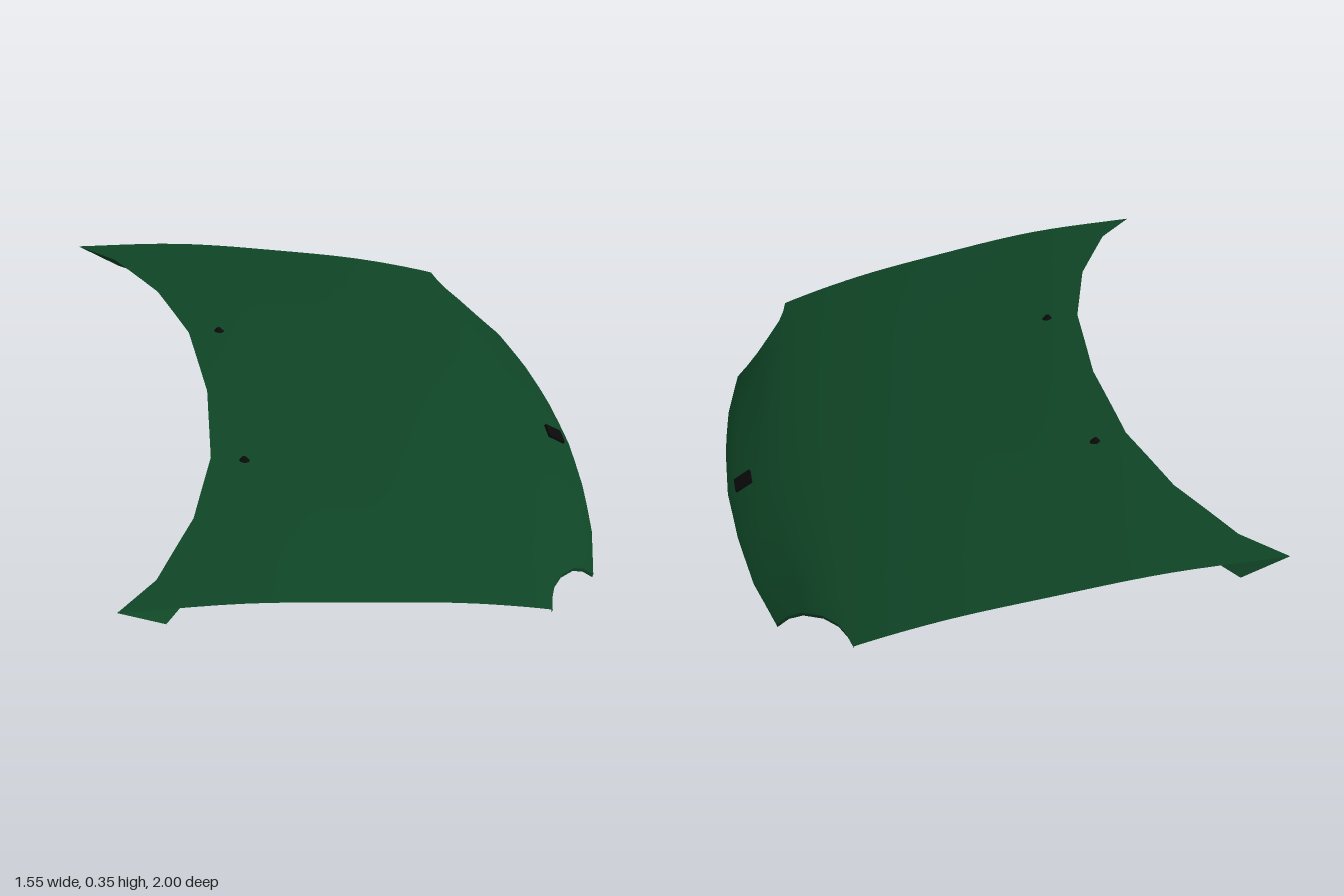
import * as THREE from 'three';

// Smooth height along the centreline, rear to nose
const profileX = [-0.8, -0.42, -0.06, 0.2, 0.4, 0.53, 0.62, 0.69, 0.75, 0.785];
const profileY = [0.385, 0.365, 0.31, 0.262, 0.21, 0.167, 0.128, 0.087, 0.047, 0.014];
const profile = new THREE.CubicInterpolant(profileX, profileY, 1, new Float32Array(1));
const centreHeight = (x) => profile.evaluate(THREE.MathUtils.clamp(x, -0.8, 0.785))[0];

// Outline tables over w, the sideways position from 0 (middle) to 1 (edge)
const rearEdge = [[0, -0.425], [0.35, -0.45], [0.63, -0.53], [0.88, -0.66], [1, -0.78]];
const frontX = [[0, 0.775], [0.26, 0.762], [0.48, 0.735], [0.7, 0.685], [0.72, 0.65], [0.755, 0.61], [0.82, 0.555], [0.9, 0.505], [1, 0.485]];
const frontZ = [[0, 0], [0.7, 0.678], [0.72, 0.687], [0.755, 0.715], [0.82, 0.78], [0.9, 0.86], [1, 0.95]];

function lookup(table, w) {
  let i = 1;
  while (i < table.length - 1 && w > table[i][0]) i++;
  const [w0, a] = table[i - 1], [w1, b] = table[i];
  return a + (b - a) * (w - w0) / (w1 - w0);
}

// Height of the panel, with a crown across it and a nose that wraps round
function height(x, z) {
  const wrap = THREE.MathUtils.smoothstep(x, 0.5, 0.7);
  return centreHeight(x + 0.19 * z * z * wrap) - 0.045 * z * z * (1 - wrap);
}

// Point on the panel: w runs from -1 to 1 across, t from rear to nose
function panelPoint(w, t) {
  const a = Math.abs(w);
  const x = THREE.MathUtils.lerp(lookup(rearEdge, a), lookup(frontX, a), t);
  const z = Math.sign(w) * THREE.MathUtils.lerp(a, lookup(frontZ, a), Math.pow(t, 1.6));
  return new THREE.Vector3(x, height(x, z), z);
}

// Surface through rows of points
function gridGeometry(rows) {
  const n = rows[0].length;
  const index = [];
  for (let i = 0; i < rows.length - 1; i++) {
    for (let j = 0; j < n - 1; j++) {
      const a = i * n + j, c = a + n;
      index.push(a, a + 1, c, a + 1, c + 1, c);
    }
  }
  const geometry = new THREE.BufferGeometry().setFromPoints(rows.flat());
  geometry.setIndex(index);
  geometry.computeVertexNormals();
  return geometry;
}

export function createModel() {
  const paint = new THREE.MeshStandardMaterial({ color: 0x0f4526, side: THREE.DoubleSide });
  paint.name = 'greenPaint';
  const black = new THREE.MeshStandardMaterial({ color: 0x0a0a0a });
  black.name = 'blackTrim';

  const hood = new THREE.Group();
  hood.name = 'hood';
  const add = (name, geometry, material) => {
    const mesh = new THREE.Mesh(geometry, material);
    mesh.name = name;
    hood.add(mesh);
    return mesh;
  };

  const half = [0.12, 0.24, 0.35, 0.48, 0.56, 0.63, 0.7, 0.72, 0.755, 0.82, 0.88, 0.94, 1];
  const columns = [...half.map((w) => -w).reverse(), 0, ...half];

  // Main panel, with rows closer together at the nose
  const rows = [];
  for (let i = 0; i <= 24; i++) {
    const t = 1 - Math.pow(1 - i / 24, 1.4);
    rows.push(columns.map((w) => panelPoint(w, t)));
  }
  add('panel', gridGeometry(rows), paint);

  // Rear flange, folded down and forward, deepest at the corners
  const rear = rows[0];
  const flange = rear.map((p, j) => {
    const w = columns[j];
    const x = p.x + 0.022 + 0.113 * w * w;
    return new THREE.Vector3(x, 0.31 + 0.05 * (x + 0.4) / 0.245, p.z * (1 - 0.023 * w * w));
  });
  add('rearFlange', gridGeometry([flange, rear]), paint);

  // Narrow lip along the nose and the lamp cutouts
  const front = rows[rows.length - 1];
  const lip = front.map((p) => new THREE.Vector3(p.x - 0.003, Math.max(0, p.y - 0.011), p.z));
  add('frontLip', gridGeometry([front, lip]), paint);

  // Washer nozzles: low tapered blocks pointing rearward
  for (const side of [-1, 1]) {
    const z = side * 0.363;
    const nozzle = add('washerNozzle', new THREE.CylinderGeometry(0.007, 0.018, 0.014, 8), black);
    nozzle.scale.z = 0.8;
    nozzle.position.set(-0.35, height(-0.35, z) + 0.005, z);
  }

  // Nose badge, a plain plate lying on the slope
  const x0 = 0.697, x1 = 0.745;
  const badge = add('noseBadge', new THREE.BoxGeometry(0.062, 0.009, 0.064), black);
  badge.position.set((x0 + x1) / 2 + 0.002, height((x0 + x1) / 2, 0) + 0.003, 0);
  badge.rotation.z = Math.atan2(height(x1, 0) - height(x0, 0), x1 - x0);

  return hood;
}
